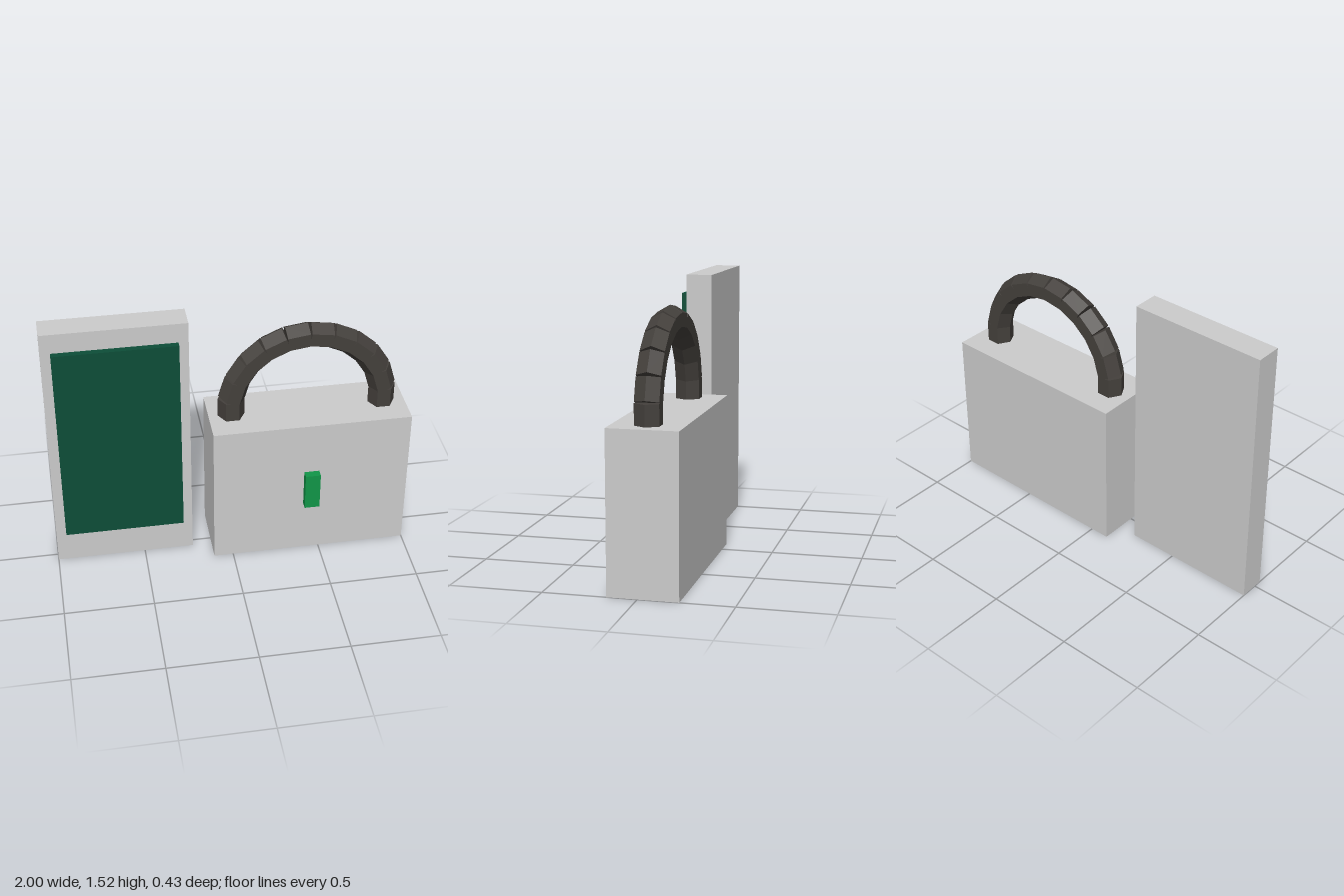
import * as THREE from 'three';

const grey = new THREE.MeshStandardMaterial({ color: 0xcccccc });
const darkGreen = new THREE.MeshStandardMaterial({ color: 0x0d4d38 });
const green = new THREE.MeshStandardMaterial({ color: 0x119648 });
const charcoal = new THREE.MeshStandardMaterial({ color: 0x44403c, flatShading: true });

// Box given by its minimum and maximum corners
function box(name, min, max, material) {
  const size = max.map((v, i) => v - min[i]);
  const mesh = new THREE.Mesh(new THREE.BoxGeometry(...size), material);
  mesh.position.set(...max.map((v, i) => (v + min[i]) / 2));
  mesh.name = name;
  return mesh;
}

export function createModel() {
  const model = new THREE.Group();
  model.name = 'phoneAndPadlock';

  // Phone: slab with a raised screen in front
  const phone = new THREE.Group();
  phone.name = 'phone';
  phone.add(
    box('phoneBody', [-1, 0, -0.1], [-0.22, 1.52, 0.046], grey),
    box('phoneScreen', [-0.945, 0.21, 0.052], [-0.275, 1.41, 0.086], darkGreen),
  );

  // Padlock: block with a floating keyhole plate
  const padlock = new THREE.Group();
  padlock.name = 'padlock';
  padlock.add(
    box('padlockBody', [-0.11, 0, -0.216], [1, 0.86, 0.16], grey),
    box('keyhole', [0.4, 0.335, 0.172], [0.485, 0.557, 0.216], green),
  );

  // Shackle: half circle of straight hexagonal links, open wedges outside
  const shackle = new THREE.Group();
  shackle.name = 'shackle';
  shackle.position.set(0.442, 0.91, -0.027);
  const links = 12, radius = 0.425;
  const linkGeometry = new THREE.CylinderGeometry(0.075, 0.075, 0.125, 6);
  linkGeometry.rotateY(Math.PI / 2); // hexagon corners point in and out of the arch
  for (let i = 0; i < links; i++) {
    const angle = (i / (links - 1)) * Math.PI;
    const link = new THREE.Mesh(linkGeometry, charcoal);
    link.name = 'shackleLink';
    link.position.set(Math.cos(angle) * radius, Math.sin(angle) * radius, 0);
    link.rotation.z = angle;
    shackle.add(link);
  }
  padlock.add(shackle);

  model.add(phone, padlock);
  return model;
}
